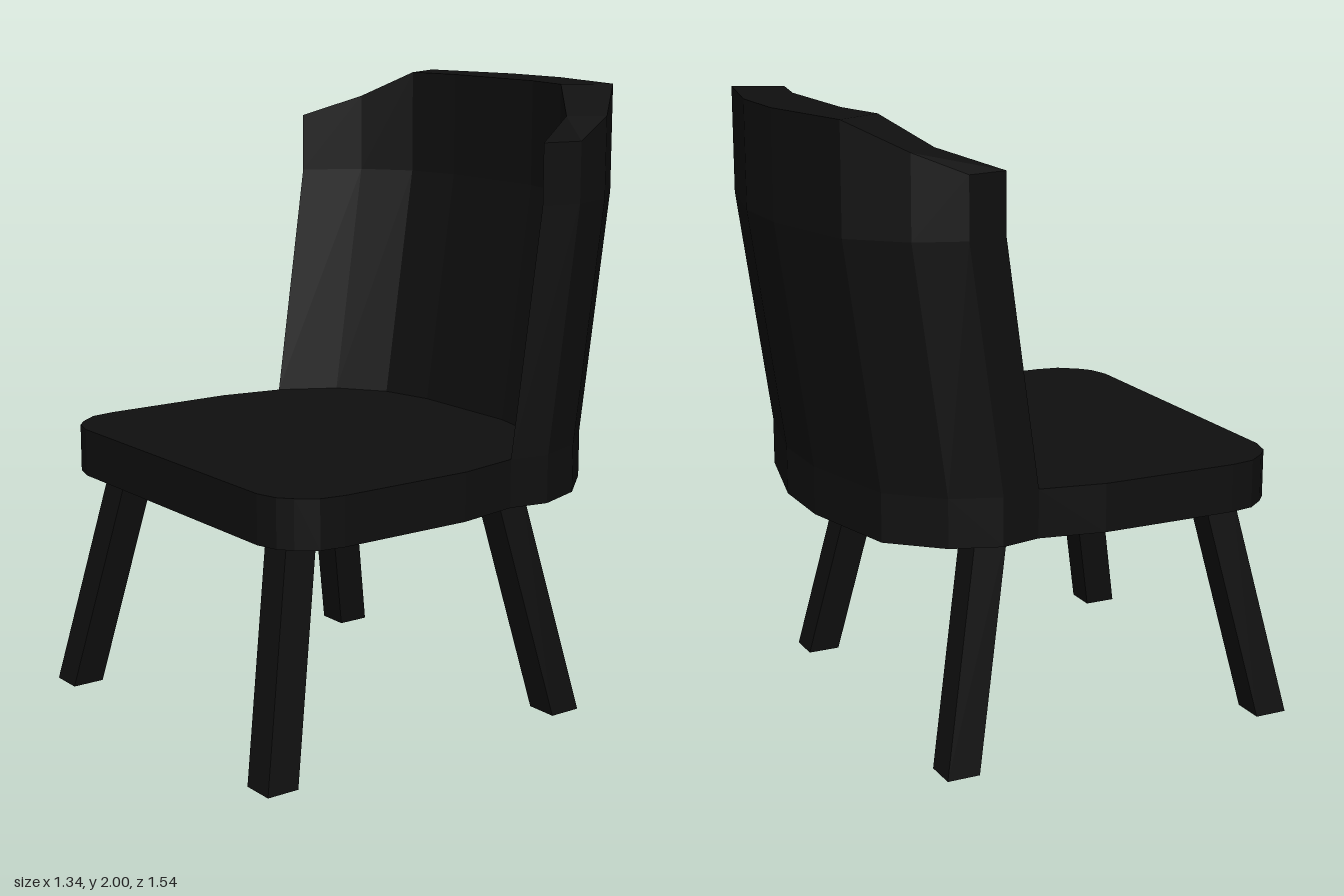
import * as THREE from 'three';

const SEAT_BOTTOM = 0.73, SEAT_TOP = 0.885, BEND = 1.66, LEAN = -0.11;

// Half outlines in plan as [x, z], from the open end of the backrest to its middle
const OUTER = [[0.655, -0.27], [0.6, -0.425], [0.46, -0.58], [0.12, -0.66]];
const INNER = [[0.63, -0.14], [0.53, -0.32], [0.38, -0.43], [0.2, -0.47]];
const TOP_Y = [1.85, 1.915, 2, 2];
const FRONT = [[0.5, 0.715], [0.57, 0.695], [0.61, 0.66], [0.655, 0.6], [0.668, 0.52], [0.668, 0.07], [0.63, -0.14]];

const mirror = (half) => [...half, ...half.map(([x, z]) => [-x, z]).reverse()];

// Flat seat slab whose rear edge follows the outside of the backrest
function seatGeometry() {
  const outline = mirror([...FRONT, ...OUTER]);
  const shape = new THREE.Shape(outline.map(([x, z]) => new THREE.Vector2(x, -z)));
  const geo = new THREE.ExtrudeGeometry(shape, { depth: SEAT_TOP - SEAT_BOTTOM, bevelEnabled: false });
  return geo.rotateX(-Math.PI / 2).translate(0, SEAT_BOTTOM, 0);
}

// Curved shell: leans back up to the bend, then rises straight to a rounded top
function backrestGeometry() {
  const loop = [...mirror(OUTER), ...mirror(INNER).reverse()];
  const tops = [...TOP_Y, ...[...TOP_Y].reverse()];
  const heights = [...tops, ...tops];
  const n = loop.length;
  const pos = [], index = [];
  const addRing = (dz, y) => loop.forEach(([x, z], i) => pos.push(x, y(i), z + dz));
  addRing(0, () => SEAT_TOP);
  addRing(LEAN, () => BEND);
  addRing(LEAN, (i) => heights[i]);
  const quad = (a, b, c, d) => index.push(a, b, c, a, c, d);
  for (let r = 0; r < 2; r++) {
    for (let i = 0; i < n; i++) {
      const j = (i + 1) % n;
      quad(r * n + i, r * n + j, (r + 1) * n + j, (r + 1) * n + i);
    }
  }
  // Top rim between the outer and inner edges
  const t = 2 * n;
  for (let i = 0; i < n / 2 - 1; i++) quad(t + i, t + i + 1, t + n - 2 - i, t + n - 1 - i);
  const geo = new THREE.BufferGeometry();
  geo.setAttribute('position', new THREE.Float32BufferAttribute(pos, 3));
  geo.setIndex(index);
  const flat = geo.toNonIndexed();
  flat.computeVertexNormals();
  return flat;
}

// Square leg sheared from its foot to its top
function legGeometry(foot, top) {
  const h = SEAT_BOTTOM + 0.01;
  const geo = new THREE.BoxGeometry(0.108, h, 0.108).translate(0, h / 2, 0);
  const p = geo.attributes.position;
  for (let i = 0; i < p.count; i++) {
    const k = p.getY(i) / h;
    p.setX(i, p.getX(i) + THREE.MathUtils.lerp(foot[0], top[0], k));
    p.setZ(i, p.getZ(i) + THREE.MathUtils.lerp(foot[1], top[1], k));
  }
  geo.computeVertexNormals();
  return geo;
}

export function createModel() {
  const black = new THREE.MeshStandardMaterial({ color: 0x0f0f0f });
  black.name = 'black';
  const chair = new THREE.Group();
  chair.name = 'chair';
  const add = (name, geo) => {
    const mesh = new THREE.Mesh(geo, black);
    mesh.name = name;
    chair.add(mesh);
  };

  add('seat', seatGeometry());
  add('backrest', backrestGeometry());

  // Splayed legs
  for (const [side, s] of [['Left', 1], ['Right', -1]]) {
    const x = (v) => s * v - 0.008;
    add('front' + side + 'Leg', legGeometry([x(0.577), 0.714], [x(0.46), 0.56]));
    add('rear' + side + 'Leg', legGeometry([x(0.577), -0.395], [x(0.46), -0.243]));
  }
  return chair;
}
